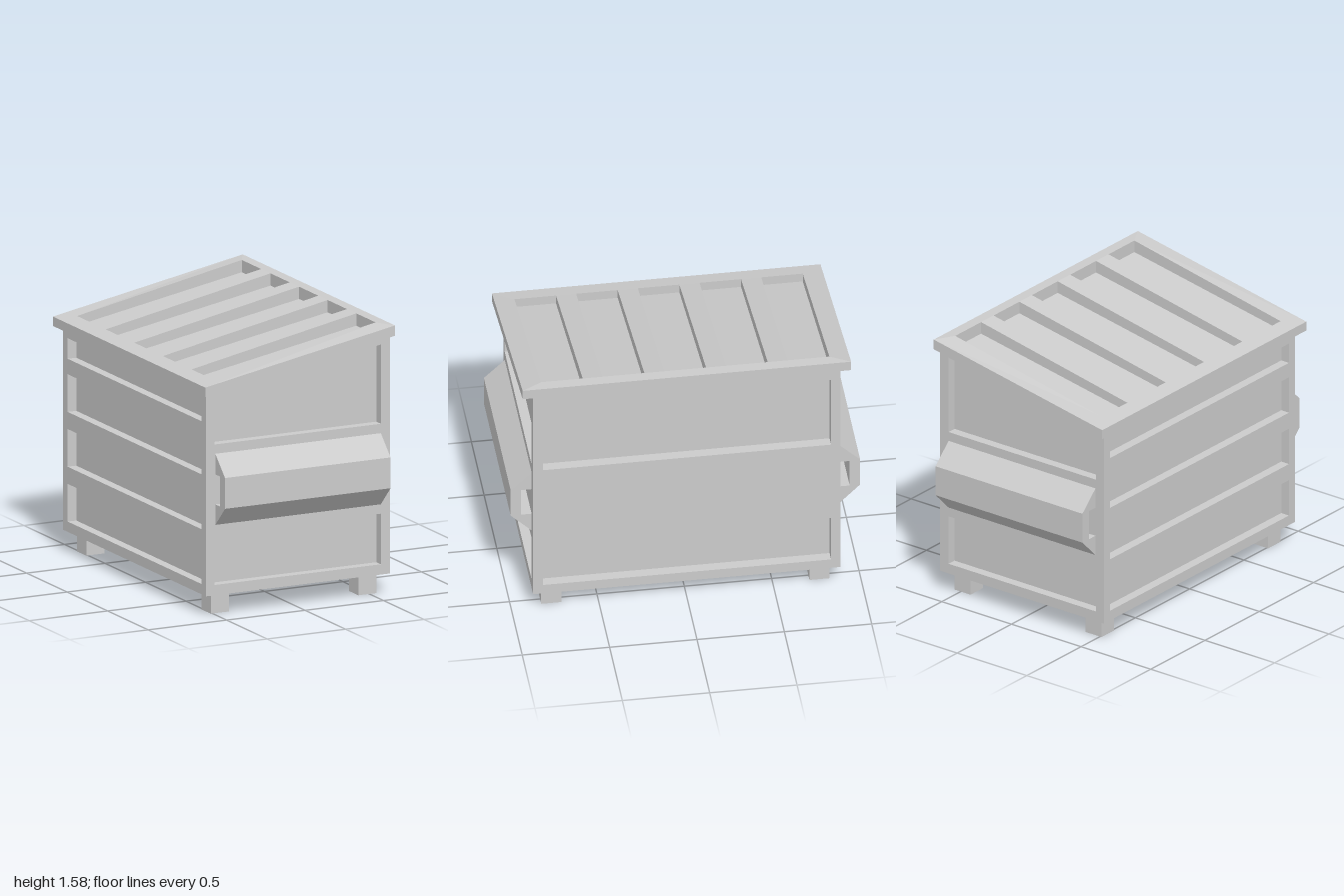
import * as THREE from 'three';

const material = new THREE.MeshStandardMaterial({ color: 0xcccccc, flatShading: true });

// Main dimensions: body extents, wall recess depth and sloped top
const X0 = -0.57, X1 = 0.605, Z = 0.88, BASE = 0.12, D = 0.055;
const IN0 = -0.515, IN1 = 0.545, INZ = Z - D;
const topAt = (x) => 1.3 + 0.182 * (x + 0.605);

const path = (pts, Type = THREE.Shape) => new Type(pts.map(([x, y]) => new THREE.Vector2(x, y)));
const rect = (x0, x1, y0, y1) => [[x0, y0], [x1, y0], [x1, y1], [x0, y1]];

function extrude(pts, depth, holes = []) {
  const shape = path(pts);
  shape.holes = holes.map((h) => path(h, THREE.Path));
  return new THREE.ExtrudeGeometry(shape, { depth, bevelEnabled: false });
}

function add(parent, name, geometry) {
  const mesh = new THREE.Mesh(geometry, material);
  mesh.name = name;
  parent.add(mesh);
  return mesh;
}

function box(parent, name, x0, x1, y0, y1, z0, z1) {
  const mesh = add(parent, name, new THREE.BoxGeometry(x1 - x0, y1 - y0, z1 - z0));
  mesh.position.set((x0 + x1) / 2, (y0 + y1) / 2, (z0 + z1) / 2);
}

export function createModel() {
  const model = new THREE.Group();
  model.name = 'wasteContainer';

  // Inner tub: its faces are the floors of the recessed panels
  const tub = extrude([[IN0, BASE], [IN1, BASE], [IN1, topAt(IN1)], [IN0, topAt(IN0)]], 2 * INZ);
  add(model, 'tub', tub.translate(0, 0, -INZ));

  // Front and back frames with two recessed panels each
  const frame = extrude(
    [[X0, BASE], [X1, BASE], [X1, topAt(X1)], [X0, topAt(X0)]], D,
    [rect(IN0, IN1, 0.18, 0.475), [[IN0, 1.0], [IN1, 1.0], [IN1, 1.463], [IN0, 1.262]]]
  );
  add(model, 'frontFrame', frame).position.z = INZ;
  add(model, 'backFrame', frame).position.z = -Z;

  // Horizontal bars that leave two panels on the tall side, four on the low side
  const tallBars = [[BASE, 0.18], [0.475, 1.0], [1.463, 1.525]];
  const lowBars = [[BASE, 0.18], [0.4, 0.5], [0.72, 0.82], [1.04, 1.13], [1.25, 1.312]];
  tallBars.forEach(([y0, y1]) => box(model, 'tallSideBar', IN1, X1, y0, y1, -INZ, INZ));
  lowBars.forEach(([y0, y1]) => box(model, 'lowSideBar', X0, IN0, y0, y1, -INZ, INZ));

  // Sloped lid with five long slots
  const slots = [-2, -1, 0, 1, 2].map((i) => rect(-0.51, 0.54, i * 0.353 - 0.119, i * 0.353 + 0.119));
  const lid = extrude(rect(-0.605, 0.605, -0.94, 0.94), 1, slots).rotateX(-Math.PI / 2);
  const p = lid.attributes.position;
  for (let i = 0; i < p.count; i++) {
    const x = p.getX(i);
    const isTop = p.getY(i) > 0.5;
    const rise = Math.abs(x - 0.54) < 0.01 ? 0.012 : 0;
    p.setY(i, isTop ? 1.355 + 0.186 * (x + 0.605) + rise : topAt(x));
  }
  lid.computeVertexNormals();
  add(model, 'lid', lid);

  // Lifting sleeves on front and back
  const sleeve = extrude([
    [Z, 0.53], [1, 0.65], [1, 0.83], [Z, 0.945],
    [Z, 0.825], [0.94, 0.825], [0.94, 0.65], [Z, 0.65],
  ], IN1 + 0.51);
  const front = add(model, 'frontSleeve', sleeve);
  front.rotation.y = -Math.PI / 2;
  front.position.x = IN1;
  const back = add(model, 'backSleeve', sleeve);
  back.rotation.y = Math.PI / 2;
  back.position.x = -0.51;

  // Four square feet
  for (const x of [-0.51, 0.43]) {
    for (const z of [-0.825, 0.71]) box(model, 'foot', x, x + 0.115, 0, BASE, z, z + 0.115);
  }
  return model;
}
